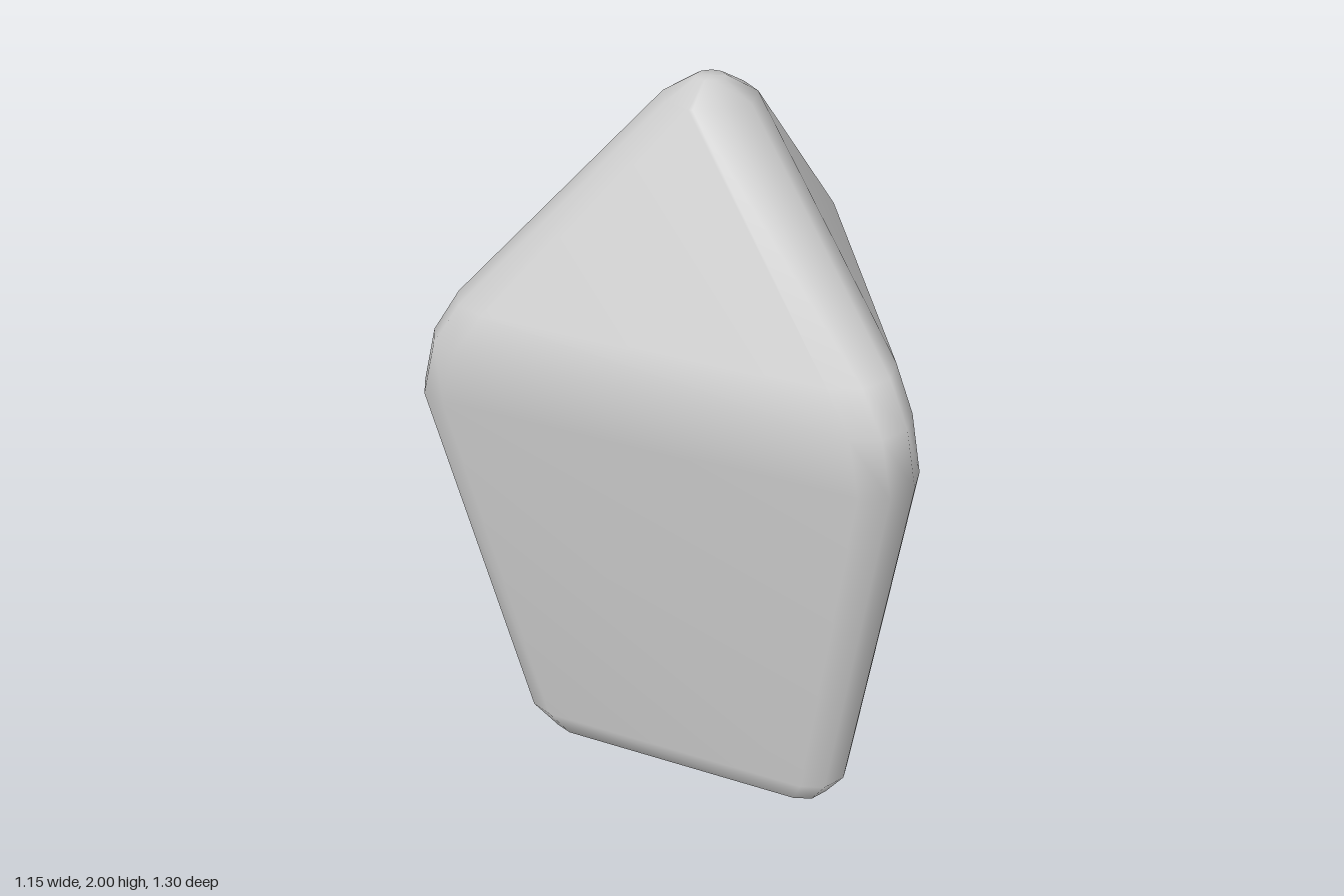
import * as THREE from 'three';

const AXIS_X = -0.157;
const ARC_STEPS = 3;

// Rounded triangle levels, bottom to top: [height, distance to flat side, corner radius]
const LEVELS = [
  [0, 0.1, 0.012],
  [0.03, 0.19, 0.04],
  [0.1, 0.27, 0.072],
  [0.19, 0.313, 0.095],
  [1.22, 0.423, 0.108],
  [1.36, 0.406, 0.11],
  [1.46, 0.376, 0.118],
  [1.955, 0.113, 0.11],
  [2, 0.037, 0.036],
];

// One closed loop: three corner arcs joined by straight sides, one corner towards +x
function addLoop(points, [y, inset, radius]) {
  for (let corner = 0; corner < 3; corner++) {
    const dir = corner * Math.PI * 2 / 3;
    const reach = 2 * (inset - radius);
    for (let i = 0; i <= ARC_STEPS; i++) {
      const a = dir + (i / ARC_STEPS - 0.5) * Math.PI * 2 / 3;
      points.push(
        AXIS_X + reach * Math.cos(dir) + radius * Math.cos(a),
        y,
        -reach * Math.sin(dir) - radius * Math.sin(a));
    }
  }
}

function createGemGeometry() {
  const points = [], faces = [];
  const n = 3 * (ARC_STEPS + 1);
  LEVELS.forEach(level => addLoop(points, level));

  // Walls between neighbouring loops
  for (let l = 0; l < LEVELS.length - 1; l++) {
    for (let j = 0; j < n; j++) {
      const a = l * n + j, b = l * n + (j + 1) % n;
      faces.push(a, b, a + n, b, b + n, a + n);
    }
  }

  // Flat base and tip
  const base = points.length / 3, tip = base + 1;
  points.push(AXIS_X, 0, 0, AXIS_X, 2, 0);
  const last = (LEVELS.length - 1) * n;
  for (let j = 0; j < n; j++) {
    const k = (j + 1) % n;
    faces.push(base, k, j, tip, last + j, last + k);
  }

  const geometry = new THREE.BufferGeometry();
  geometry.setAttribute('position', new THREE.Float32BufferAttribute(points, 3));
  geometry.setIndex(faces);
  geometry.computeVertexNormals();
  return geometry;
}

export function createModel() {
  const group = new THREE.Group();
  group.name = 'crystal';
  const gem = new THREE.Mesh(
    createGemGeometry(),
    new THREE.MeshStandardMaterial({ color: 0xcccccc }));
  gem.name = 'gemBody';
  group.add(gem);
  return group;
}
